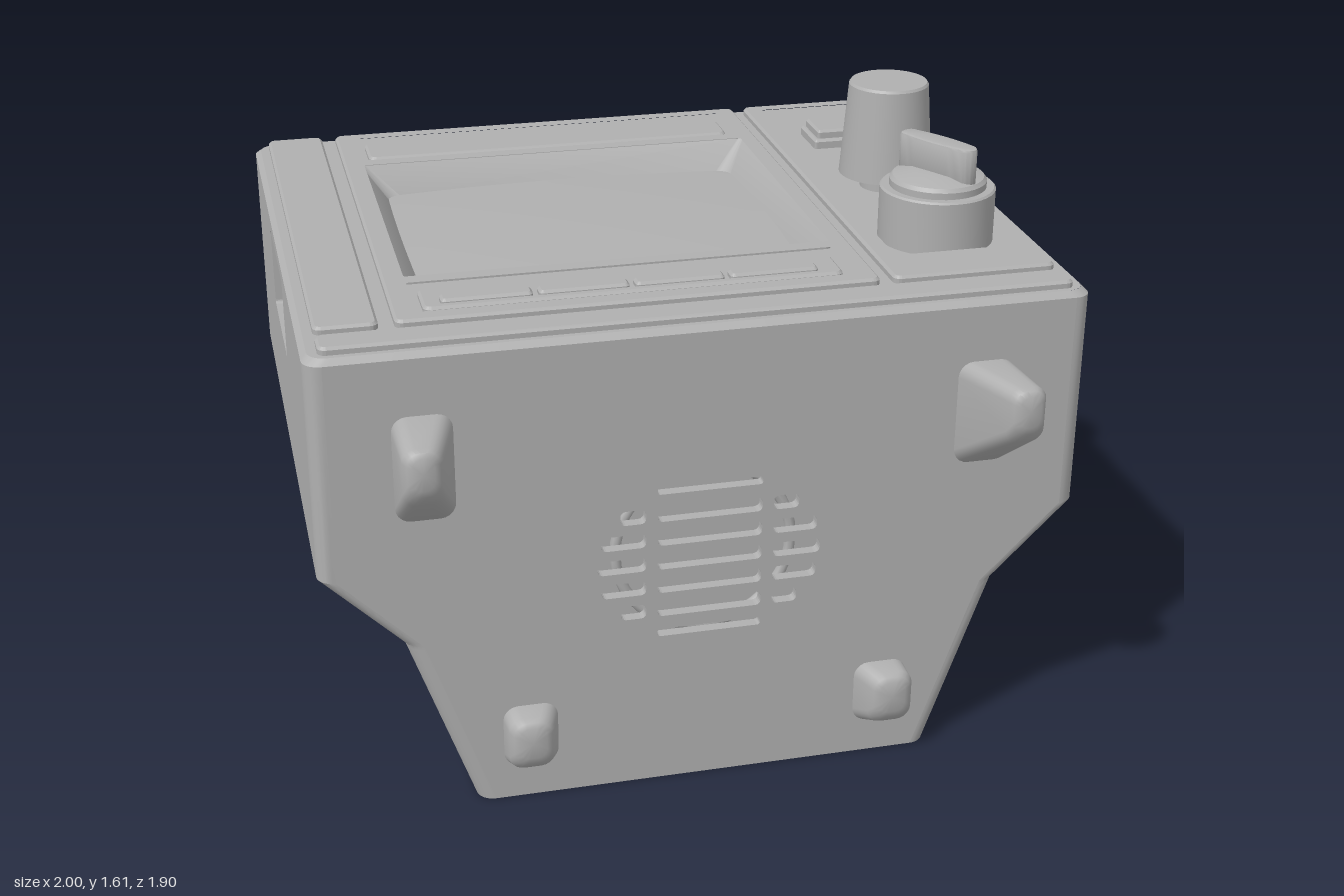
import * as THREE from 'three';
import { toCreasedNormals } from 'three/addons/utils/BufferGeometryUtils.js';

const grey = new THREE.MeshStandardMaterial({ color: 0xb0b0b0 });
grey.name = 'plain grey';

// Rounded rectangle in the xz plane at height y: n steps per corner, m per side
function ring(y, x0, x1, z0, z1, r, n = 4, m = 1) {
  const corners = [[x1 - r, z1 - r], [x1 - r, z0 + r], [x0 + r, z0 + r], [x0 + r, z1 - r]];
  const pts = [];
  const at = (k, a) => new THREE.Vector3(corners[k][0] + r * Math.cos(a), y, corners[k][1] + r * Math.sin(a));
  for (let k = 0; k < 4; k++) {
    const a0 = Math.PI / 2 * (1 - k), a1 = a0 - Math.PI / 2;
    for (let i = 0; i < n; i++) pts.push(at(k, a0 + (a1 - a0) * i / n));
    const from = at(k, a1), to = at((k + 1) % 4, a1);
    for (let i = 0; i < m; i++) pts.push(from.clone().lerp(to, i / m));
  }
  return pts;
}
const point = (y, x, z, n = 4, m = 1) => ring(y, x, x, z, z, 0, n, m);

// Skin over a list of rings; skip(centroid, row, column) leaves triangles out
function loft(rings, skip = () => false, crease = 0.38) {
  const pos = [], c = new THREE.Vector3(), n = rings[0].length;
  for (let i = 0; i + 1 < rings.length; i++) for (let j = 0; j < n; j++) {
    const k = (j + 1) % n, [p, q] = [rings[i], rings[i + 1]];
    for (const t of [[p[j], p[k], q[k]], [p[j], q[k], q[j]]]) {
      c.copy(t[0]).add(t[1]).add(t[2]).divideScalar(3);
      if (!skip(c, i, j)) t.forEach(v => pos.push(v.x, v.y, v.z));
    }
  }
  const g = new THREE.BufferGeometry();
  g.setAttribute('position', new THREE.Float32BufferAttribute(pos, 3));
  return toCreasedNormals(g, crease);
}

// Rounded rectangle outline for flat shapes
function outline(x0, x1, y0, y1, r, Type = THREE.Shape) {
  return new Type(ring(0, x0, x1, y0, y1, r).map(p => new THREE.Vector2(p.x, p.z)));
}

// Body sections: height, half width, back z, front z
const FRONT = 0.715, R = 0.045;
const sections = [[0, 0.62, -0.6, FRONT], [0.49, 0.79, -0.77, FRONT], [0.7, 1, -0.947, FRONT],
  [1.287, 1, -0.947, FRONT], [1.302, 0.985, -0.932, FRONT - 0.015]];
function section(y) {
  let i = 0;
  while (i < 3 && y > sections[i + 1][0]) i++;
  const t = (y - sections[i][0]) / (sections[i + 1][0] - sections[i][0]);
  return sections[i].map((v, k) => v + (sections[i + 1][k] - v) * t);
}
// Height at which the sloping underside passes over a point
function undersideHeight(x, z) {
  let lo = 0, hi = 0.7;
  for (let i = 0; i < 22; i++) {
    const y = (lo + hi) / 2, [, w, zb] = section(y);
    const qx = Math.abs(x) - w + R, qz = zb + R - z;
    const d = Math.hypot(Math.max(qx, 0), Math.max(qz, 0));
    if (d > R) lo = y; else hi = y;
  }
  return hi;
}

export function createModel() {
  const model = new THREE.Group();
  const add = (name, geo, x = 0, y = 0, z = 0) => {
    const mesh = new THREE.Mesh(geo, grey);
    mesh.name = name;
    mesh.position.set(x, y, z);
    model.add(mesh);
    return mesh;
  };

  // Body shell with four screw wells cut in the sloping band
  const wells = [[0.86, 0.54], [-0.86, 0.54], [0.86, -0.82], [-0.86, -0.82]], wellR = 0.075;
  const N = 8, M = 140, heights = [0];
  for (let i = 0; i <= 7; i++) heights.push(0.42 + 0.01 * i);
  for (let i = 1; i <= 18; i++) heights.push(0.49 + 0.21 * i / 18);
  heights.push(1.287, 1.302);
  const bodyRings = heights.map(y => {
    const [, w, zb, zf] = section(y);
    return ring(y, -w, w, zb, zf, R, N, M);
  });
  bodyRings.unshift(point(0, 0, 0, N, M));
  const last = bodyRings.length - 2;
  add('body shell', loft(bodyRings, (c, i, j) => {
    if (i === 0 || i === last) return false;
    const side = Math.floor(j / (N + M)), straight = j % (N + M) >= N;
    if (straight && (side === 3 || (side === 2 && i === last - 1))) return true;
    return c.y < 0.7 && wells.some(([x, z]) => Math.hypot(c.x - x, c.z - z) < wellR);
  }));
  for (const [x, z] of wells) {
    const rim = ring(0.7, x - wellR, x + wellR, z - wellR, z + wellR, wellR, 8, 1);
    const foot = rim.map(p => new THREE.Vector3(p.x, undersideHeight(p.x, p.z), p.z));
    add('screw well', loft([point(0.7, x, z, 8), rim, foot]));
  }

  // Front wall with speaker slots
  const half = sections.slice(0, 4).map(([y, w]) => new THREE.Vector2(w - R, y));
  const wall = new THREE.Shape([...half, ...half.map(p => new THREE.Vector2(-p.x, p.y)).reverse()]);
  const slot = (x0, x1, y, h) => wall.holes.push(outline(x0, x1, y - h, y + h, h * 0.7, THREE.Path));
  const reach = [0.295, 0.285, 0.235];
  for (let i = -3; i <= 3; i++) {
    const y = 0.655 + i * 0.069, h = Math.abs(i) === 3 ? 0.011 : 0.02;
    slot(-0.138, 0.138, y, h);
    if (Math.abs(i) < 3) for (const s of [-1, 1]) {
      const a = s * 0.168, b = s * reach[Math.abs(i)];
      slot(Math.min(a, b), Math.max(a, b), y, h);
    }
  }
  add('front wall', new THREE.ExtrudeGeometry(wall, { depth: 0.03, bevelEnabled: false }), 0, 0, FRONT - 0.03);
  add('speaker back', new THREE.CircleGeometry(0.33, 40), 0, 0.655, FRONT - 0.08);
  add('speaker ring', new THREE.TorusGeometry(0.235, 0.015, 8, 40), 0, 0.655, FRONT - 0.07);

  // Side wall with grip pocket
  const side = new THREE.Shape([[-0.947 + R, 0.7], [FRONT - R, 0.7], [FRONT - R, 1.287], [-0.947 + R, 1.287]]
    .map(p => new THREE.Vector2(...p)));
  side.holes.push(outline(-0.34, 0.05, 1.03, 1.25, 0.01, THREE.Path));
  add('side wall', new THREE.ExtrudeGeometry(side, { depth: 0.045, bevelEnabled: false }).rotateY(-Math.PI / 2), -0.955);
  add('grip pocket floor', new THREE.PlaneGeometry(0.45, 0.28).rotateY(-Math.PI / 2), -0.956, 1.14, -0.145);

  // Face deck and raised panels; each rectangle is x0, x1, z0, z1
  const DECK = 1.302, TOP = 1.322, screen = [-0.71, 0.44, -0.63, 0.28];
  const flat = ([x0, x1, z0, z1], r, T) => outline(x0, x1, -z1, -z0, r, T);
  const deck = flat([-0.985, 0.985, -0.932, FRONT - 0.015], R);
  deck.holes.push(flat(screen, 0.02, THREE.Path));
  add('face deck', new THREE.ShapeGeometry(deck).rotateX(-Math.PI / 2), 0, DECK);
  const plate = (name, rect, r, y0, y1, holes = []) => {
    const s = flat(rect, r), b = Math.min(0.007, (y1 - y0) / 2);
    holes.forEach(h => s.holes.push(flat(h, 0.014, THREE.Path)));
    const g = new THREE.ExtrudeGeometry(s, { depth: y1 - y0 - b, bevelThickness: b, bevelSize: b,
      bevelOffset: -b, bevelSegments: 1 });
    return add(name, g.rotateX(-Math.PI / 2), 0, y0);
  };
  const upper = [-0.71, 0.44, -0.88, -0.66], lower = [-0.71, 0.44, 0.31, 0.52];
  plate('left panel', [-0.96, -0.8, -0.92, 0.56], 0.02, DECK, TOP, [[-0.92, -0.84, -0.875, 0.52]]);
  plate('bottom panel', [-0.96, 0.96, 0.595, 0.685], 0.02, DECK, TOP, [[-0.925, 0.925, 0.62, 0.66]]);
  plate('screen panel', [-0.76, 0.485, -0.92, 0.56], 0.02, DECK, TOP, [screen, upper, lower]);
  plate('control panel', [0.52, 0.96, -0.92, 0.56], 0.02, DECK, TOP, [[0.565, 0.915, -0.882, -0.848],
    [0.565, 0.915, -0.78, -0.425], [0.565, 0.915, -0.355, 0], [0.565, 0.915, 0.07, 0.42], [0.565, 0.915, 0.495, 0.53]]);
  plate('upper trim', [-0.68, 0.41, -0.845, -0.695], 0.02, DECK, TOP - 0.004, [[-0.665, 0.395, -0.83, -0.71]]);
  plate('lower trim', [-0.68, 0.41, 0.345, 0.485], 0.02, DECK, TOP - 0.004, [[-0.665, 0.395, 0.36, 0.47]]);
  for (let i = 0; i < 4; i++) {
    const x = -0.63 + i * 0.25;
    plate('channel key', [x, x + 0.235, 0.39, 0.44], 0.012, DECK, TOP - 0.004);
  }

  // Sloped screen surround and slightly domed screen
  add('screen surround', loft([ring(TOP - 0.004, -0.71, 0.44, -0.63, 0.28, 0.014),
    ring(1.24, -0.645, 0.38, -0.57, 0.21, 0.035), ring(1.225, -0.64, 0.375, -0.565, 0.205, 0.035)]));
  const glass = new THREE.PlaneGeometry(1.06, 0.82, 20, 16).rotateX(-Math.PI / 2), p = glass.attributes.position;
  for (let i = 0; i < p.count; i++) {
    const u = p.getX(i) / 0.53, v = p.getZ(i) / 0.41;
    p.setY(i, 0.022 * (1 - u * u * 0.5 - v * v * 0.5));
  }
  glass.computeVertexNormals();
  add('screen', glass, -0.1325, 1.238, -0.18);

  // Power button
  plate('power button', [0.64, 0.84, -0.68, -0.525], 0.008, DECK, 1.33);
  plate('power button cap', [0.652, 0.828, -0.668, -0.537], 0.008, 1.32, 1.355);

  // Turned knobs
  const lathe = (name, profile, x, z) => add(name, toCreasedNormals(
    new THREE.LatheGeometry(profile.map(q => new THREE.Vector2(...q)), 40), 0.45), x, 0, z);
  lathe('tall knob', [[0.07, DECK], [0.07, 1.33], [0.095, 1.332], [0.095, 1.345], [0.132, 1.345], [0.13, 1.37],
    [0.112, 1.605], [0.107, 1.612], [0, 1.612]], 0.74, -0.175);
  lathe('dial base', [[0.155, DECK], [0.155, 1.445], [0.15, 1.45], [0.13, 1.45], [0.13, 1.468], [0.122, 1.478],
    [0.07, 1.492], [0, 1.496]], 0.74, 0.25);

  // Pointer fin on the dial, narrow at its far end
  const fin = new THREE.Shape();
  fin.moveTo(-0.125, 0);
  fin.quadraticCurveTo(-0.125, 0.03, -0.095, 0.028);
  fin.quadraticCurveTo(0, 0.045, 0.1, 0.026);
  fin.quadraticCurveTo(0.14, 0, 0.1, -0.026);
  fin.quadraticCurveTo(0, -0.045, -0.095, -0.028);
  fin.quadraticCurveTo(-0.125, -0.03, -0.125, 0);
  const finGeo = new THREE.ExtrudeGeometry(fin, { depth: 0.09, bevelThickness: 0.008, bevelSize: 0.008,
    bevelOffset: -0.008, bevelSegments: 2 }).rotateX(-Math.PI / 2);
  add('dial pointer', toCreasedNormals(finGeo, 0.6), 0.74, 1.476, 0.25).rotation.y = -1.03;

  // Feet on the front wall, tapering outward; each ring is inner x, outer x, y0, y1, z, radius
  const feet = {
    'large foot': [[0.645, 0.8, 0.84, 1.135, 0.7, 0.04], [0.7, 0.8, 1.0, 1.15, 0.92, 0.035],
      [0.71, 0.79, 1.03, 1.147, 0.94, 0.033], [0.725, 0.778, 1.05, 1.135, 0.948, 0.025]],
    'small foot': [[0.4, 0.55, 0.09, 0.277, 0.7, 0.04], [0.425, 0.545, 0.13, 0.28, 0.78, 0.038],
      [0.435, 0.535, 0.15, 0.272, 0.795, 0.035], [0.45, 0.52, 0.17, 0.26, 0.803, 0.025]],
  };
  for (const [name, rings] of Object.entries(feet)) for (const s of [1, -1]) {
    const hoops = rings.map(([a, b, y0, y1, z, r]) =>
      ring(z, Math.min(s * a, s * b), Math.max(s * a, s * b), -y1, -y0, r, 5));
    const [a, b, y0, y1, z] = rings[3];
    hoops.push(point(z + 0.001, s * (a + b) / 2, -(y0 + y1) / 2, 5));
    add(name, loft(hoops, undefined, 0.8).rotateX(Math.PI / 2));
  }
  return model;
}
